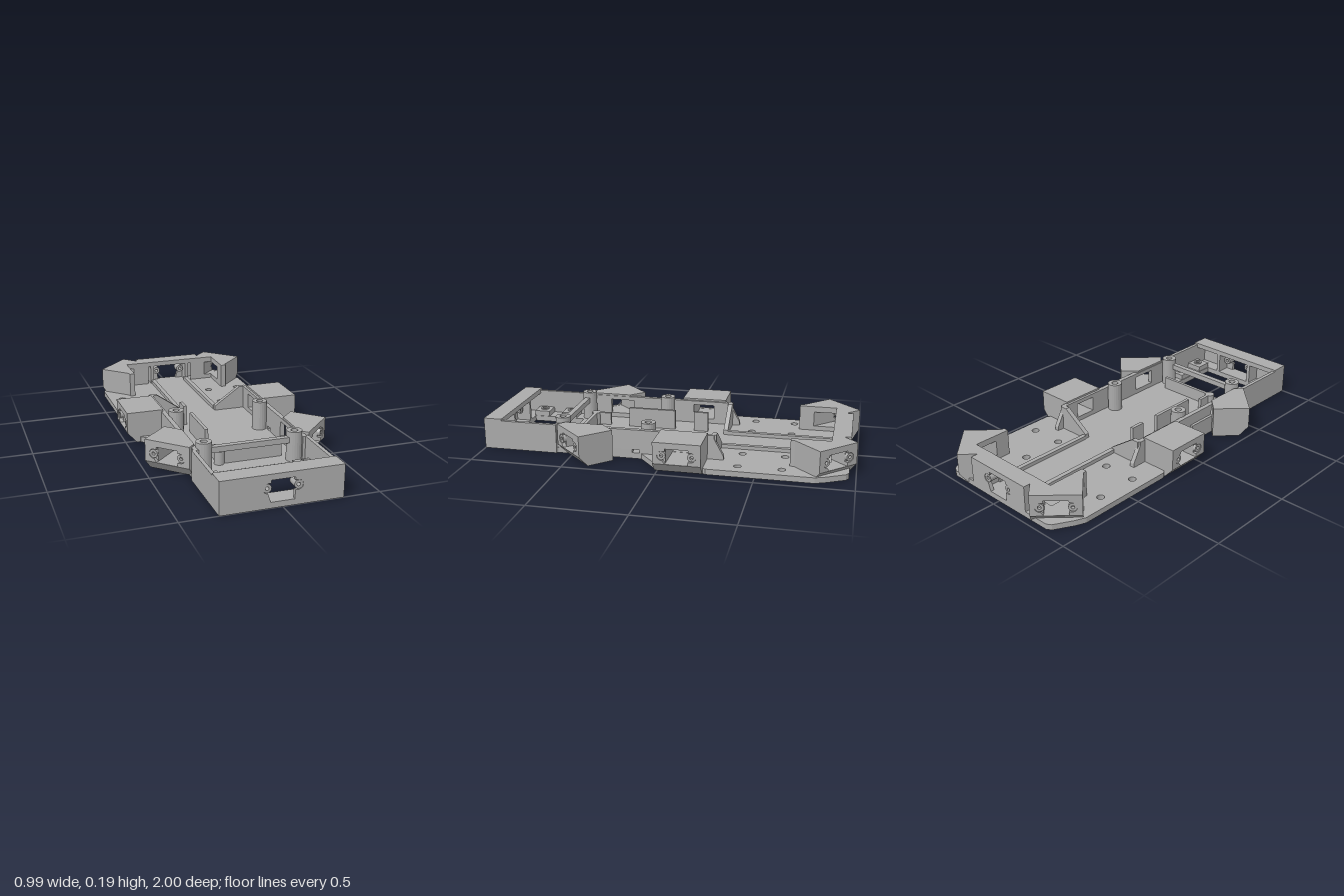
import * as THREE from 'three';

const grey = new THREE.MeshStandardMaterial({ color: 0xaaaaaa });
grey.name = 'plain grey';

const shapeOf = (pts, holes = []) => {
  const s = new THREE.Shape(pts.map(([a, b]) => new THREE.Vector2(a, b)));
  s.holes = holes;
  return s;
};
const rectPts = (a0, a1, b0, b1) => [[a0, b0], [a1, b0], [a1, b1], [a0, b1]];
const rectHole = (...r) => new THREE.Path(rectPts(...r).map(([a, b]) => new THREE.Vector2(a, b)));
const roundHole = (x, y, r) => new THREE.Path().absarc(x, y, r, 0, Math.PI * 2, true);
const extrude = (shape, depth) =>
  new THREE.ExtrudeGeometry(shape, { depth, bevelEnabled: false, curveSegments: 10 });

function add(parent, name, geo, x = 0, y = 0, z = 0) {
  const m = new THREE.Mesh(geo, grey);
  m.name = name;
  m.position.set(x, y, z);
  parent.add(m);
  return m;
}
// box given by its limits
const block = (p, name, x0, x1, y0, y1, z0, z1) =>
  add(p, name, new THREE.BoxGeometry(Math.abs(x1 - x0), y1 - y0, z1 - z0),
    (x0 + x1) / 2, (y0 + y1) / 2, (z0 + z1) / 2);
// plan polygon (across, inward) raised from y0 to y1
const prism = (p, name, pts, y0, y1, holes) =>
  add(p, name, extrude(shapeOf(pts, holes), y1 - y0).rotateX(-Math.PI / 2), 0, y0, 0);
// profile (z, y) given thickness along x, ending at x1
const sideProfile = (p, name, pts, x1, t, holes) =>
  add(p, name, extrude(shapeOf(pts, holes), t).rotateY(-Math.PI / 2), x1, 0, 0);
// hollow round post, axis along z before turning
const ring = (r, hole, len) => extrude(
  new THREE.Shape().absarc(0, 0, r, 0, Math.PI * 2, false), len) && (() => {
  const s = new THREE.Shape().absarc(0, 0, r, 0, Math.PI * 2, false);
  s.holes.push(roundHole(0, 0, hole));
  return extrude(s, len);
})();

// window with a rounded screw recess on each side
function sensorHole(y0, y1) {
  const h = new THREE.Path();
  const w = 0.06, r = 0.025, c = 0.1;
  h.moveTo(-w, y0).lineTo(w, y0).lineTo(w, c - r).lineTo(0.075, c - r);
  h.absarc(0.075, c, r, -Math.PI / 2, Math.PI / 2, false);
  h.lineTo(w, c + r).lineTo(w, y1).lineTo(-w, y1).lineTo(-w, c + r).lineTo(-0.075, c + r);
  h.absarc(-0.075, c, r, Math.PI / 2, Math.PI * 1.5, false);
  h.lineTo(-w, y0);
  return h;
}

// outer face of a sensor housing, at local z = 0 and facing +z
function sensorFace(p, half, y0, top, win0, win1, bossBack) {
  add(p, 'sensorFace', extrude(shapeOf(rectPts(-half, half, y0, top), [sensorHole(win0, win1)]), 0.02), 0, 0, -0.02);
  for (const s of [-1, 1])
    add(p, 'screwBoss', ring(0.022, 0.009, bossBack), s * 0.078, 0.1, -0.003 - bossBack);
}

// pod: cover(d0) is its plan from depth d0 inwards, cheeks flank the tunnel
function pod(root, name, sx, x, z, angle, cover, cheeks) {
  const g = new THREE.Group();
  g.name = name;
  g.position.set(sx * x, 0, z);
  g.rotation.y = sx * angle;
  const flip = pts => pts.map(([t, d]) => [sx * t, d]);
  sensorFace(g, 0.125, 0.055, 0.17, 0.056, 0.138, 0.017);
  prism(g, 'podRoof', flip(cover(0.02)), 0.138, 0.17);
  prism(g, 'podFloor', flip(cover(0.05)), 0, 0.055);
  cheeks.forEach(c => prism(g, 'podCheek', flip(c), 0.055, 0.138));
  sideProfile(g, 'podChamfer', [[0, 0.055], [-0.05, 0], [-0.05, 0.055]], 0.125, 0.25);
  root.add(g);
}

// end wall with a sensor window, roof and inner posts
function endWall(root, name, half, z, angle, depth) {
  const g = new THREE.Group();
  g.name = name;
  g.position.z = z;
  g.rotation.y = angle;
  sensorFace(g, half, 0, 0.17, 0.03, 0.14, 0.055);
  block(g, 'wallRoof', -half, half, 0.142, 0.17, -depth, -0.02);
  for (const s of [-1, 1]) {
    block(g, 'wallPost', s * 0.105, s * 0.125, 0.02, 0.15, -depth, -0.02);
    block(g, 'wallEnd', s * (half - 0.02), s * half, 0, 0.15, -depth, -0.02);
  }
  root.add(g);
}

export function createModel() {
  const root = new THREE.Group();
  root.name = 'chassis';

  // floor plate, plan points are (x, -z)
  const half = [[0.31, -1], [0.31, -0.6], [0.3, -0.58], [0.3, -0.12], [0.42, -0.02],
    [0.42, 0.22], [0.445, 0.25], [0.445, 0.8], [0.425, 0.85], [0.37, 0.95], [0.345, 0.965]];
  const outline = [...half, ...half.map(([x, y]) => [-x, y]).reverse()];
  const holes = [rectHole(-0.195, 0.195, -0.9, -0.6)];
  for (const s of [-1, 1]) {
    for (const x of [0.185, 0.37]) for (const y of [0.405, 0.63]) holes.push(roundHole(s * x, y, 0.02));
    for (const y of [-0.69, -0.865]) holes.push(roundHole(s * 0.25, y, 0.013));
  }
  prism(root, 'floorPlate', outline, 0, 0.03, holes);

  endWall(root, 'frontWall', 0.31, 1, 0, 0.1);
  endWall(root, 'rearWall', 0.2, -0.965, Math.PI, 0.095);

  for (const s of [-1, 1]) {
    // long side walls with windows into the pods
    sideProfile(root, 'sideWall',
      [[-0.32, 0], [-0.32, 0.05], [-0.27, 0.14], [-0.27, 0.16], [0.6, 0.16], [0.6, 0]],
      s > 0 ? 0.3 : -0.275, 0.025,
      [rectHole(-0.17, -0.05, 0.056, 0.138), rectHole(0.31, 0.449, 0.056, 0.138),
        rectHole(0.13, 0.17, 0.032, 0.05)]);
    // sloping wall behind the cabin
    add(root, 'slopingWall', extrude(shapeOf(
      [[s * 0.1, 0.02], [s * 0.29, 0.02], [s * 0.29, 0.16], [s * 0.25, 0.16], [s * 0.1, 0.055]]), 0.025), 0, 0, -0.28);
    // low rails on the rear deck
    block(root, 'deckRail', s * 0.095, s * 0.12, 0.02, 0.05, -0.88, -0.28);
    // front bay walls and screw pads
    block(root, 'bayWall', s * 0.29, s * 0.31, 0, 0.16, 0.59, 0.91);
    for (const z of [0.69, 0.86]) {
      const pad = prism(root, 'screwPad', rectPts(-0.048, 0.048, -0.045, 0.045), 0.03, 0.06, [roundHole(0, 0, 0.013)]);
      pad.position.x = s * 0.247;
      pad.position.z = z;
      const collar = add(root, 'padCollar', ring(0.024, 0.013, 0.012).rotateX(-Math.PI / 2), s * 0.25, 0.055, z);
      collar.position.z = z;
    }
    // mounting posts
    for (const z of [0.095, 0.57])
      add(root, 'mountingPost', ring(0.04, 0.018, 0.165).rotateX(-Math.PI / 2), s * 0.24, 0.025, z);

    // angled front pods
    pod(root, 'frontPod', s, 0.405, 0.49, Math.PI / 4,
      d => [[0.125, d], [0.125, 0.198], [0.021, 0.198], [-0.125, 0.052], [-0.125, d]],
      [[[0.125, 0.02], [0.125, 0.198], [0.06, 0.198], [0.06, 0.02]],
        [[-0.125, 0.02], [-0.06, 0.02], [-0.06, 0.117], [-0.125, 0.052]]]);
    // square side pods
    pod(root, 'sidePod', s, 0.49, -0.11, Math.PI / 2,
      d => rectPts(-0.125, 0.125, d, 0.2),
      [rectPts(0.06, 0.125, 0.02, 0.2), rectPts(-0.125, -0.06, 0.02, 0.2)]);
    // angled rear pods wrapping the corners
    pod(root, 'rearPod', s, 0.36, -0.91, Math.PI * 0.75,
      d => [[0.125, d], [0.125, 0.184], [0.028, 0.085], [-0.117, 0.23], [-0.138, 0.209], [-0.125, 0.19], [-0.125, d]],
      [[[0.125, 0.02], [0.125, 0.184], [0.06, 0.117], [0.06, 0.02]],
        [[-0.06, 0.02], [-0.06, 0.173], [-0.117, 0.23], [-0.138, 0.209], [-0.125, 0.19], [-0.125, 0.02]]]);
  }

  // cross beam between the front posts
  block(root, 'crossBeam', -0.22, 0.22, 0.13, 0.16, 0.56, 0.59);

  // upright dividers on the floor
  for (const [z0, z1] of [[-0.16, -0.08], [0.03, 0.3], [0.41, 0.48]])
    block(root, 'divider', -0.145, -0.127, 0.02, z1 > 0.4 ? 0.1 : 0.14, z0, z1);
  block(root, 'crossDivider', -0.135, 0.2, 0.02, 0.1, 0.49, 0.508);
  add(root, 'dividerPost', new THREE.CylinderGeometry(0.026, 0.026, 0.08, 20), -0.136, 0.06, 0.5);

  // socket block on the right flank
  block(root, 'socketBlock', -0.315, -0.295, 0, 0.1, 0.13, 0.31);

  return root;
}
